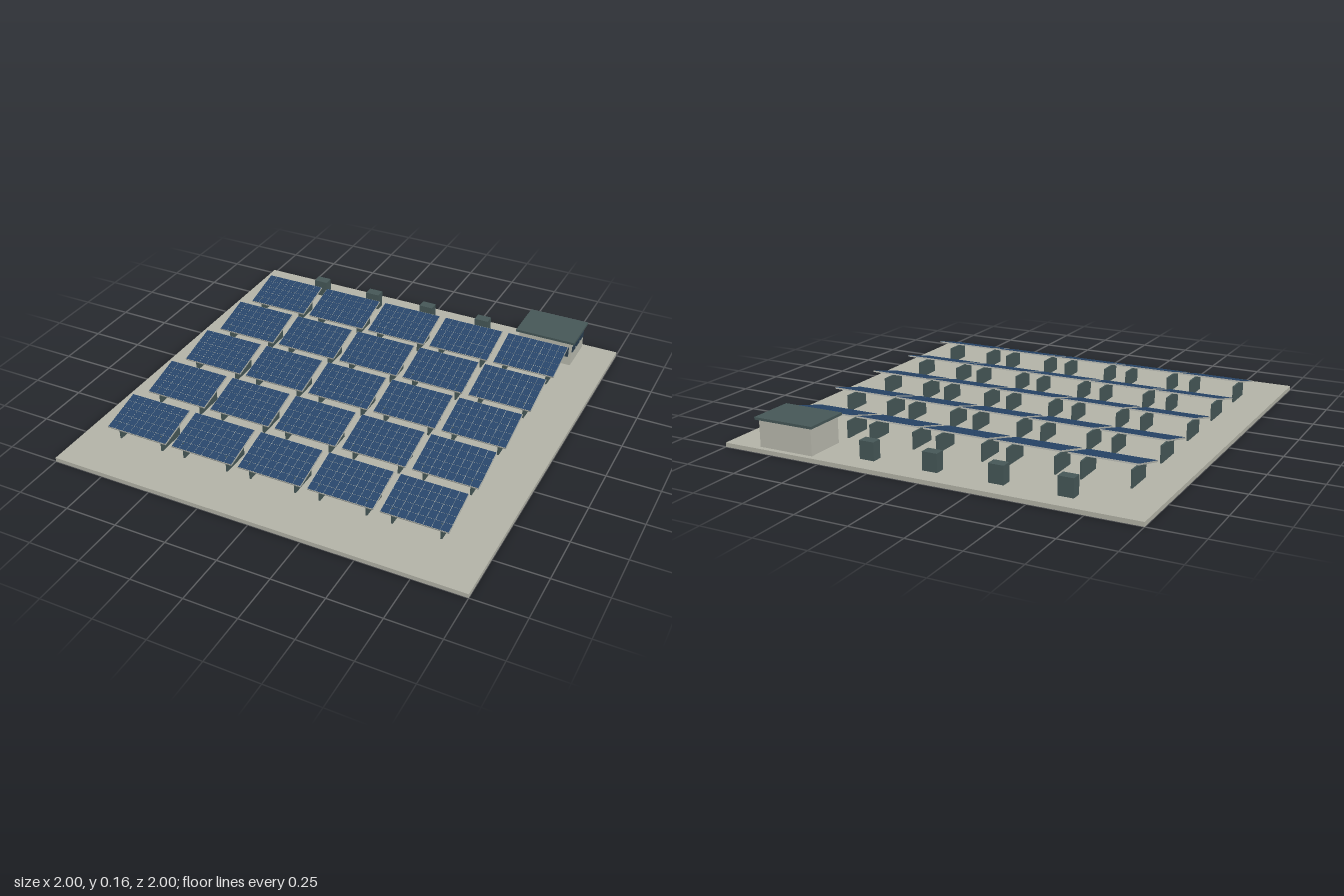
import * as THREE from 'three';
import { mergeGeometries } from 'three/addons/utils/BufferGeometryUtils.js';

const mat = (name, color) => {
  const m = new THREE.MeshStandardMaterial({ color });
  m.name = name;
  return m;
};

function boxGeo(w, h, d, x, y, z) {
  return new THREE.BoxGeometry(w, h, d).translate(x, y, z);
}

export function createModel() {
  const concrete = mat('concrete', 0xb4b4a8);
  const wallPaint = mat('wallPaint', 0xb9baae);
  const steel = mat('darkSteel', 0x465858);
  const frameGrey = mat('frameGrey', 0xb0b2aa);
  const cellBlue = mat('cellBlue', 0x28466a);
  const glass = mat('windowGlass', 0x2b3f50);

  const model = new THREE.Group();
  model.name = 'solarFarm';
  const add = (parent, name, geometry, material) => {
    const mesh = new THREE.Mesh(geometry, material);
    mesh.name = name;
    parent.add(mesh);
    return mesh;
  };

  // Ground slab
  add(model, 'groundSlab', boxGeo(2, 0.02, 2, 0, 0.01, 0), concrete);

  // Shared panel geometry: frame slab with an 8 x 5 field of raised cells
  const W = 0.312, D = 0.216, T = 0.007, COLS = 8, ROWS = 5, GAP = 0.0018;
  const frameGeo = new THREE.BoxGeometry(W, T, D);
  const cw = (W - GAP) / COLS, cd = (D - GAP) / ROWS;
  const cells = [];
  for (let i = 0; i < COLS; i++) {
    for (let j = 0; j < ROWS; j++) {
      cells.push(boxGeo(cw - GAP, 0.001, cd - GAP,
        (i - (COLS - 1) / 2) * cw, T / 2 + 0.0005, (j - (ROWS - 1) / 2) * cd));
    }
  }
  const cellGeo = mergeGeometries(cells);
  const legGeo = boxGeo(0.008, 0.08, 0.145, 0, 0.06, 0);

  // Five rows of five tilted tables on plate legs
  for (let r = 0; r < 5; r++) {
    for (let c = 0; c < 5; c++) {
      const table = new THREE.Group();
      table.name = 'solarTable';
      table.position.set(-0.712 + c * 0.3433, 0, -0.633 + r * 0.325);
      const panel = new THREE.Group();
      panel.name = 'panel';
      panel.position.y = 0.114;
      panel.rotation.x = THREE.MathUtils.degToRad(14.5);
      add(panel, 'panelFrame', frameGeo, frameGrey);
      add(panel, 'panelCells', cellGeo, cellBlue);
      table.add(panel);
      for (const s of [-1, 1]) add(table, 'panelLeg', legGeo, steel).position.set(s * 0.112, 0, 0.004);
      model.add(table);
    }
  }

  // Inverter cabinets along the back
  for (let i = 0; i < 4; i++) {
    add(model, 'cabinet', boxGeo(0.072, 0.085, 0.05, -0.627 + i * 0.313, 0.0625, -0.881), steel);
  }

  // Control building with windows on the left side and a wide front window
  const building = new THREE.Group();
  building.name = 'controlBuilding';
  model.add(building);
  add(building, 'buildingWalls', boxGeo(0.276, 0.13, 0.2, 0.687, 0.085, -0.875), wallPaint);
  add(building, 'buildingRoof', boxGeo(0.304, 0.012, 0.227, 0.687, 0.154, -0.875), steel);
  for (const z of [-0.807, -0.872, -0.936]) {
    add(building, 'sideWindow', boxGeo(0.006, 0.03, 0.046, 0.827, 0.107, z), glass);
  }
  add(building, 'frontWindow', boxGeo(0.25, 0.05, 0.008, 0.687, 0.095, -0.771), glass);

  return model;
}
